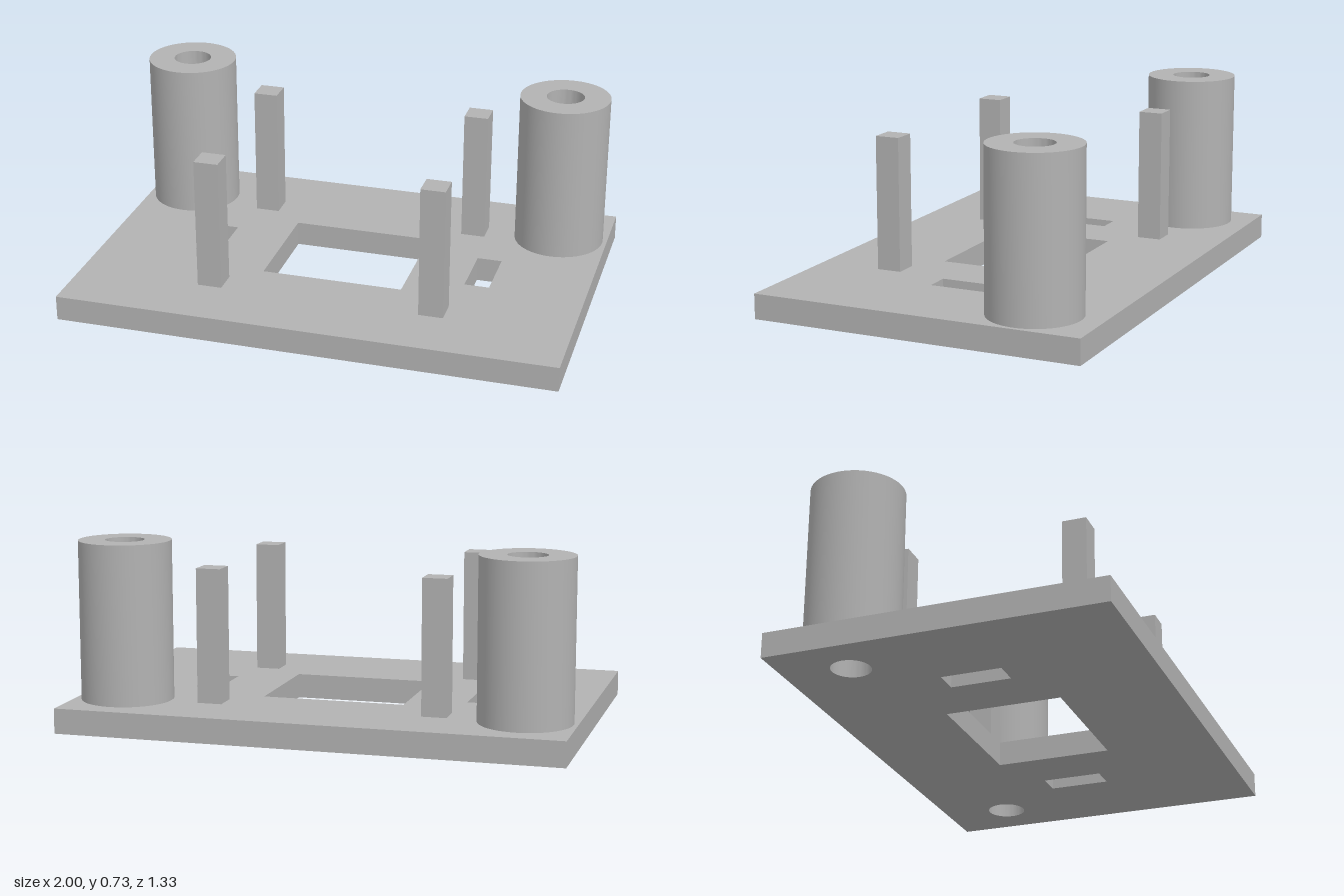
import * as THREE from 'three';
import { toCreasedNormals } from 'three/addons/utils/BufferGeometryUtils.js';

const PLATE_H = 0.1;
const BORE_R = 0.077;
const TUBE_X = 0.8, TUBE_Z = -0.4;

// Rectangle outline centred on (x, y)
function rect(PathType, x, y, w, h) {
  const p = new PathType();
  p.moveTo(x - w / 2, y - h / 2);
  p.lineTo(x + w / 2, y - h / 2);
  p.lineTo(x + w / 2, y + h / 2);
  p.lineTo(x - w / 2, y + h / 2);
  p.closePath();
  return p;
}

export function createModel() {
  const model = new THREE.Group();
  model.name = 'mountingBracket';
  const grey = new THREE.MeshStandardMaterial({ color: 0xb2b2b2 });
  grey.name = 'grey';

  const add = (name, geometry, x = 0, y = 0, z = 0) => {
    const mesh = new THREE.Mesh(geometry, grey);
    mesh.name = name;
    mesh.position.set(x, y, z);
    model.add(mesh);
  };

  // Base plate with central window, side slots and bores under the tubes
  const outline = rect(THREE.Shape, 0, 0, 2, 1.333);
  outline.holes.push(rect(THREE.Path, 0, 0, 0.572, 0.466));
  for (const s of [-1, 1]) {
    outline.holes.push(rect(THREE.Path, s * 0.567, 0, 0.1, 0.24));
    outline.holes.push(new THREE.Path().absarc(s * TUBE_X, -TUBE_Z, BORE_R, 0, Math.PI * 2, true));
  }
  const plate = new THREE.ExtrudeGeometry(outline, { depth: PLATE_H, bevelEnabled: false, curveSegments: 32 });
  plate.rotateX(-Math.PI / 2);
  add('basePlate', toCreasedNormals(plate, 0.6));

  // Hollow tube section: outer wall, rim, bore
  const profile = [[0.183, PLATE_H], [0.183, 0.733], [BORE_R, 0.733], [BORE_R, PLATE_H]]
    .map(([r, y]) => new THREE.Vector2(r, y));
  const tube = toCreasedNormals(new THREE.LatheGeometry(profile, 64), 0.6);

  // Square posts, two per side
  const postH = 0.633 - PLATE_H;
  const post = new THREE.BoxGeometry(0.098, postH, 0.098);

  for (const [side, s] of [['left', 1], ['right', -1]]) {
    add(side + 'Tube', tube, s * TUBE_X, 0, TUBE_Z);
    add(side + 'FrontPost', post, s * 0.451, PLATE_H + postH / 2, 0.367);
    add(side + 'BackPost', post, s * 0.451, PLATE_H + postH / 2, -0.369);
  }
  return model;
}
